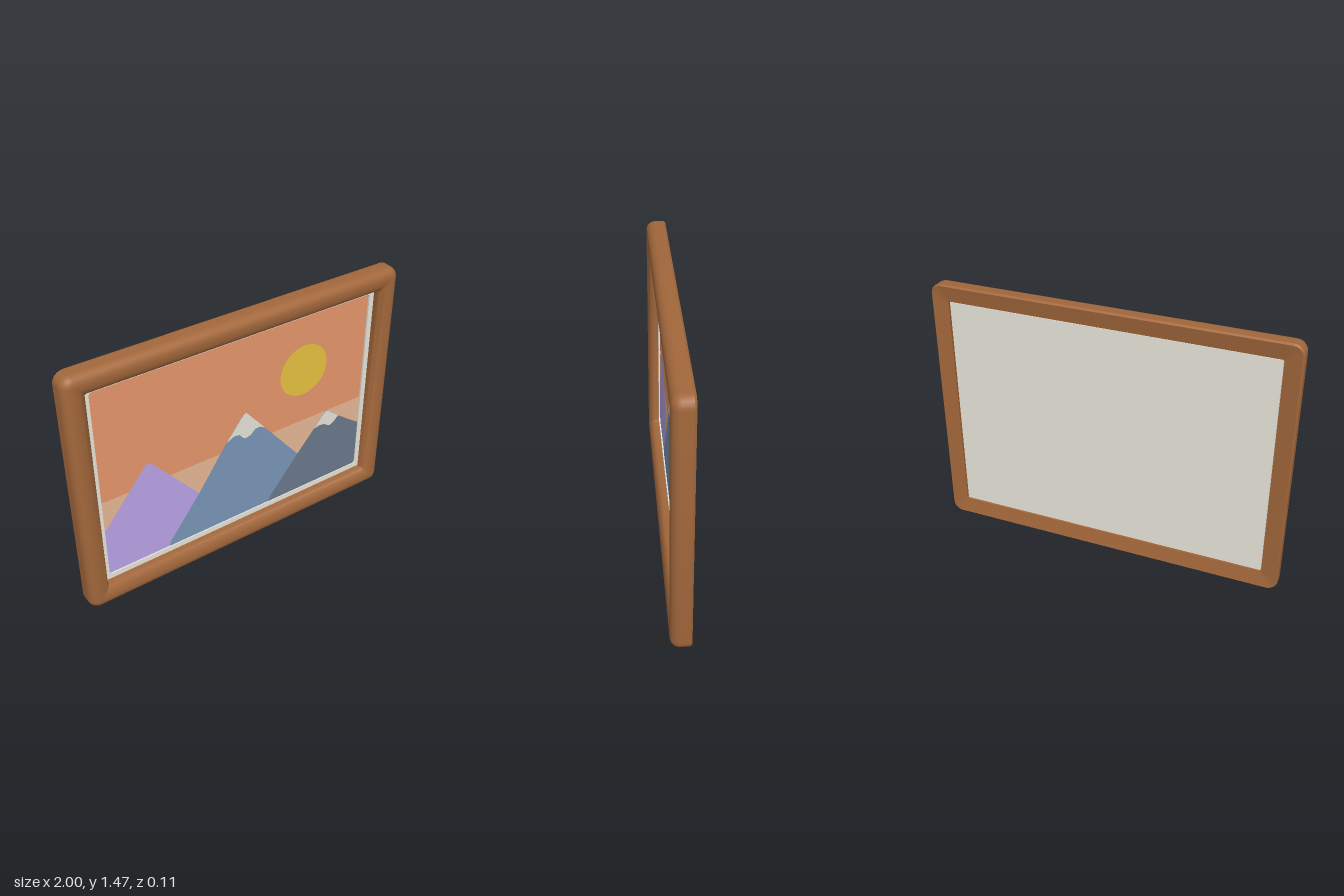
import * as THREE from 'three';
import { toCreasedNormals } from 'three/addons/utils/BufferGeometryUtils.js';

const HALF_W = 1, HALF_H = 0.735, CY = 0.735;

function mat(name, color) {
  const m = new THREE.MeshStandardMaterial({ color });
  m.name = name;
  return m;
}

// Rounded rectangle outline, counterclockwise from the front
function roundedRect(w, h, r, steps = 6) {
  const pts = [];
  [[1, 1], [-1, 1], [-1, -1], [1, -1]].forEach(([sx, sy], q) => {
    for (let i = 0; i <= steps; i++) {
      const a = (q + i / steps) * Math.PI / 2;
      pts.push(new THREE.Vector2(sx * (w - r) + r * Math.cos(a), sy * (h - r) + r * Math.sin(a)));
    }
  });
  return pts;
}

// Sweep a closed profile of [inset, z] points around the rectangle
function frameGeometry(profile) {
  const pos = [], idx = [];
  for (const [inset, z] of profile) {
    for (const p of roundedRect(HALF_W - inset, HALF_H - inset, Math.max(0.06 - inset, 0.012))) {
      pos.push(p.x, p.y, z);
    }
  }
  const n = pos.length / 3 / profile.length;
  for (let i = 0; i < profile.length; i++) {
    const k = (i + 1) % profile.length;
    for (let j = 0; j < n; j++) {
      const l = (j + 1) % n;
      const a = i * n + j, b = k * n + j, c = k * n + l, d = i * n + l;
      idx.push(a, b, c, a, c, d);
    }
  }
  const g = new THREE.BufferGeometry();
  g.setAttribute('position', new THREE.Float32BufferAttribute(pos, 3));
  g.setIndex(idx);
  return toCreasedNormals(g, 0.6);
}

export function createModel() {
  const group = new THREE.Group();
  const wood = mat('wood', 0xa2673b);
  const offWhite = mat('off white', 0xf0ede3);
  const skyOrange = mat('sky orange', 0xec9a6f);
  const haze = mat('horizon haze', 0xf0c09c);
  const gold = mat('sun gold', 0xf0c942);
  const purple = mat('mountain purple', 0xc3aaf0);
  const blue = mat('mountain blue', 0x7a97b9);
  const slate = mat('mountain slate', 0x6b798b);

  const add = (name, geometry, material, x = 0, y = 0, z = 0) => {
    const m = new THREE.Mesh(geometry, material);
    m.name = name;
    m.position.set(x, y, z);
    group.add(m);
    return m;
  };

  // Wooden frame: rounded front, small back chamfer, sloped back and rebate
  const profile = [[0.12, -0.02], [0.12, 0.022], [0.114, 0.034], [0.102, 0.044], [0.086, 0.051], [0.07, 0.055]];
  for (let i = 0; i <= 8; i++) {
    const a = Math.PI / 2 * (1 - i / 8);
    profile.push([0.05 - 0.05 * Math.cos(a), 0.005 + 0.05 * Math.sin(a)]);
  }
  profile.push([0, -0.045], [0.008, -0.055], [0.095, -0.04], [0.095, -0.02]);
  add('frame', frameGeometry(profile), wood, 0, CY, 0);

  // Backing board set in the rebate
  add('backingBoard', new THREE.BoxGeometry(1.8, 1.27, 0.014), offWhite, 0, CY, -0.027);

  // Mount border around the picture
  const border = new THREE.Shape(roundedRect(0.882, 0.617, 0.012));
  border.holes.push(new THREE.Path(roundedRect(0.85, 0.585, 0.018).reverse()));
  add('mountBorder', new THREE.ExtrudeGeometry(border, { depth: 0.013, bevelEnabled: false }),
    offWhite, 0, CY + 0.004, -0.019);

  // Picture layers, thin flat shapes from back to front
  const layer = (name, pts, material, z) => add(name,
    new THREE.ShapeGeometry(new THREE.Shape(pts.map(([x, y]) => new THREE.Vector2(x, y)))), material, 0, 0, z);
  const rect = (x, y0, y1) => [[-x, y0], [x, y0], [x, y1], [-x, y1]];

  layer('sky', rect(0.87, 0.14, 1.34), skyOrange, -0.0165);
  layer('horizonBand', rect(0.86, 0.145, 0.645), haze, -0.0153);
  add('sun', new THREE.CircleGeometry(0.158, 48), gold, 0.423, 0.983, -0.0153);

  layer('purpleMountain', [[-0.86, 0.145], [-0.02, 0.145], [-0.27, 0.44], [-0.55, 0.772],
    [-0.567, 0.782], [-0.585, 0.772], [-0.86, 0.435]], purple, -0.0141);

  layer('blueMountain', [[-0.473, 0.145], [0.62, 0.145], [0.4, 0.42], [0.165, 0.705], [0.048, 0.845],
    [0.035, 0.857], [0.02, 0.845], [-0.09, 0.705], [-0.27, 0.44], [-0.468, 0.18]], blue, -0.0129);
  layer('blueMountainSnow', [[-0.09, 0.705], [-0.04, 0.73], [-0.005, 0.725], [0.02, 0.695], [0.04, 0.687],
    [0.07, 0.695], [0.1, 0.723], [0.13, 0.725], [0.165, 0.705], [0.048, 0.845], [0.035, 0.857],
    [0.02, 0.845]], offWhite, -0.0117);

  layer('slateMountain', [[0.2, 0.145], [0.86, 0.145], [0.86, 0.455], [0.692, 0.575], [0.615, 0.637],
    [0.6, 0.645], [0.583, 0.635], [0.515, 0.55], [0.4, 0.418], [0.21, 0.185]], slate, -0.0117);
  layer('slateMountainSnow', [[0.515, 0.55], [0.555, 0.56], [0.59, 0.555], [0.613, 0.537], [0.635, 0.53],
    [0.66, 0.545], [0.692, 0.575], [0.615, 0.637], [0.6, 0.645], [0.583, 0.635]], offWhite, -0.0105);

  return group;
}
